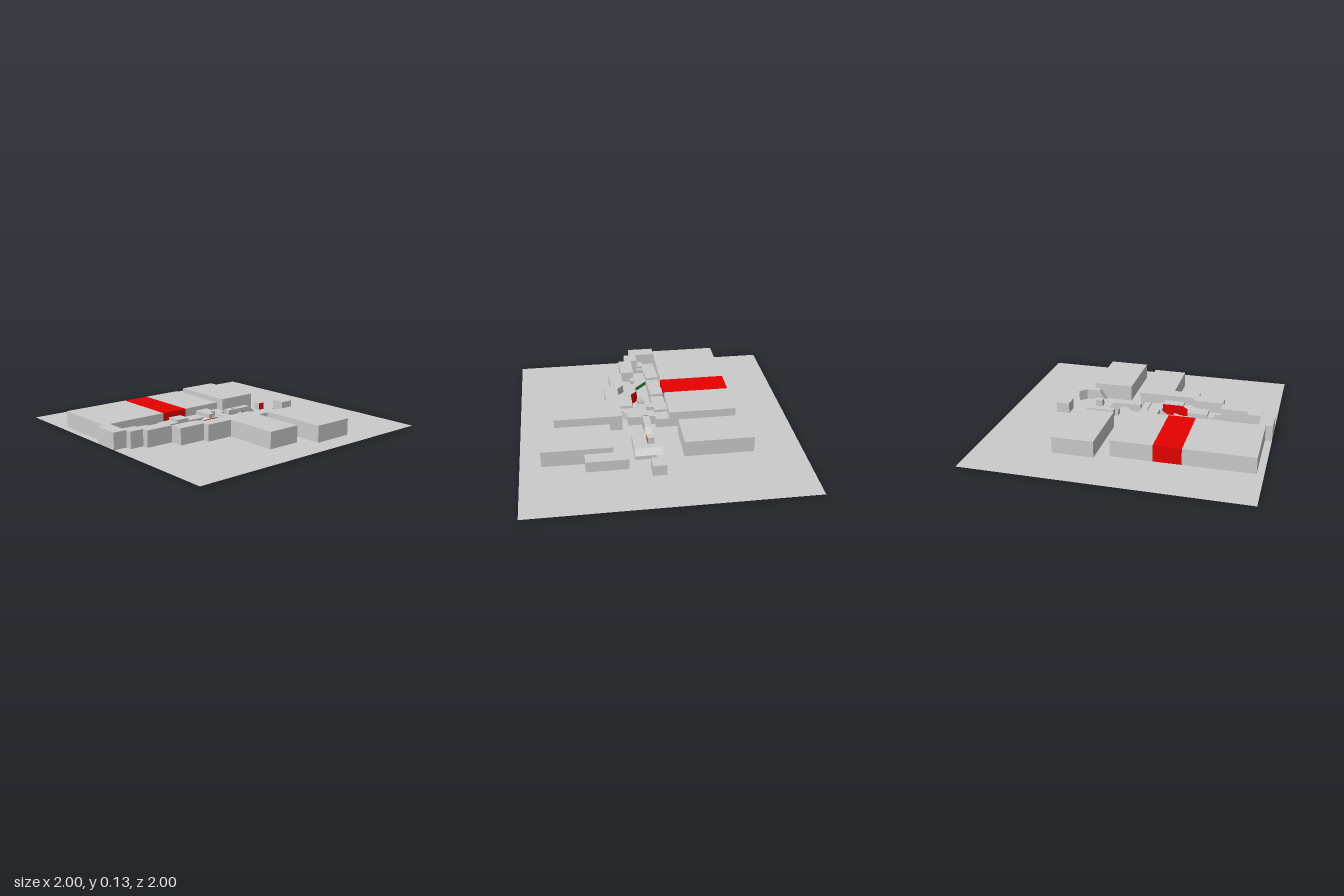
import * as THREE from 'three';

const GROUND = 0.01, TOP = 0.13;
const mat = (color) => new THREE.MeshStandardMaterial({ color, side: THREE.DoubleSide, flatShading: true });

export function createModel() {
  const root = new THREE.Group();
  const grey = mat(0xcccccc), red = mat(0xe60000), green = mat(0x30a040);

  const add = (name, geometry, material = grey) => {
    const mesh = new THREE.Mesh(geometry, material);
    mesh.name = name;
    root.add(mesh);
    return mesh;
  };
  // Box given by its limits
  const box = (name, x0, x1, z0, z1, y1 = TOP, y0 = GROUND, material = grey) =>
    add(name, new THREE.BoxGeometry(x1 - x0, y1 - y0, z1 - z0)
      .translate((x0 + x1) / 2, (y0 + y1) / 2, (z0 + z1) / 2), material);
  // Upright prism over a plan outline of [x, z] corners
  const prism = (name, plan, y1 = TOP, y0 = GROUND) => {
    const shape = new THREE.Shape(plan.map(([x, z]) => new THREE.Vector2(x, -z)));
    const g = new THREE.ExtrudeGeometry(shape, { depth: y1 - y0, bevelEnabled: false });
    return add(name, g.rotateX(-Math.PI / 2).translate(0, y0, 0));
  };
  // Prism across x over a side outline of [z, y] corners
  const profile = (name, side, x0, x1) => {
    const shape = side instanceof THREE.Shape ? side
      : new THREE.Shape(side.map(([z, y]) => new THREE.Vector2(-z, y)));
    const g = new THREE.ExtrudeGeometry(shape, { depth: x1 - x0, bevelEnabled: false, curveSegments: 10 });
    return add(name, g.rotateY(Math.PI / 2).translate(x0, 0, 0));
  };
  // Thin upright sheet along a plan line
  const sheet = (name, line, y0, y1, material) => {
    for (let i = 0; i + 1 < line.length; i++) {
      const [a, b] = [line[i], line[i + 1]];
      const dx = b[0] - a[0], dz = b[1] - a[1];
      const g = new THREE.PlaneGeometry(Math.hypot(dx, dz), y1 - y0)
        .rotateY(-Math.atan2(dz, dx))
        .translate((a[0] + b[0]) / 2, (y0 + y1) / 2, (a[1] + b[1]) / 2);
      add(name, g, material);
    }
  };

  // Ground and the shallow trench under it
  add('ground', new THREE.PlaneGeometry(2, 2).rotateX(-Math.PI / 2).translate(0, GROUND, 0));
  box('trench', 0.2, 0.25, -0.05, 0.15, GROUND, 0);

  // Large block beside the canyon, with a red band
  box('sideBlockBack', -0.6, -0.1, -0.05, 0.25);
  box('redBand', -0.6, -0.1, 0.25, 0.45, TOP, GROUND, red);
  box('sideBlockFront', -0.6, -0.1, 0.45, 0.95);

  // Stepped wall on the other side, closing the front end
  prism('canyonWall', [
    [-0.1, 1], [0.1, 1], [0.1, 0.9], [0.15, 0.9], [0.15, 0.8], [0.2, 0.8], [0.2, 0.6],
    [0.3, 0.6], [0.3, 0.4], [0.35, 0.4], [0.35, 0.2], [0.75, 0.2], [0.75, -0.05],
    [0.25, -0.05], [0.25, 0.35], [0.2, 0.4], [0.2, 0.6], [0.1, 0.6], [0.1, 0.8],
    [0.05, 0.8], [0.05, 0.9], [-0.1, 0.9],
  ]);

  // Separate back blocks
  box('backBlockRight', -0.65, -0.15, -0.45, -0.15);
  box('backBlockLeft', 0.35, 0.85, -0.45, -0.15);
  prism('backAnnex', [[0.35, -0.45], [0.55, -0.45], [0.55, -0.55], [0.25, -0.55]], 0.09);
  profile('annexRamp', [[-0.5, GROUND], [-0.35, GROUND], [-0.4, 0.09], [-0.5, 0.09]], 0.3, 0.35);

  // Raised platform with sloped back and small blocks
  profile('platform', [[-0.45, GROUND], [-0.2, GROUND], [-0.2, 0.07], [-0.4, 0.07], [-0.45, 0.04]], 0, 0.2);
  box('platformBlock', 0.05, 0.1, -0.35, -0.3, 0.12, 0.07);
  sheet('platformBlockSide', [[0.1005, -0.35], [0.1005, -0.3]], 0.07, 0.12, red);
  box('platformStep', 0, 0.05, -0.5, -0.45, 0.04);
  box('rearCube', 0, 0.1, -0.65, -0.55, 0.09);

  // Arched bridge from the platform to the canyon
  const arch = new THREE.Shape();
  arch.moveTo(0.25, 0.07);
  arch.lineTo(0.2, 0.115);
  arch.lineTo(0, 0.115);
  arch.lineTo(0, GROUND);
  arch.lineTo(0.065, GROUND);
  arch.lineTo(0.065, 0.035);
  arch.absarc(0.12, 0.035, 0.055, Math.PI, 0, true);
  arch.lineTo(0.175, GROUND);
  arch.lineTo(0.2, GROUND);
  arch.lineTo(0.2, 0.07);
  profile('bridge', arch, 0.05, 0.1);
  sheet('bridgeMark', [[0.05, -0.05], [0.1, -0.05]], 0.116, 0.119, green);

  // Stepped ledges along the side block: start z, end z, height
  [[-0.05, 0.05, 0.08], [0.05, 0.15, 0.1], [0.15, 0.3, 0.07], [0.3, 0.4, 0.09],
    [0.4, 0.5, 0.07], [0.5, 0.57, 0.06], [0.57, 0.6, 0.05], [0.6, 0.7, 0.07],
    [0.7, 0.75, 0.05], [0.75, 0.9, 0.04]]
    .forEach(([z0, z1, y]) => box('ledge', -0.1, 0, z0, z1, y));

  // Canyon floor pieces
  box('centreLedge', 0, 0.2, 0, 0.05, 0.08);
  box('centreBlock', 0, 0.05, 0.1, 0.15, 0.1);
  box('centreFloor', 0, 0.1, 0.05, 0.15, 0.07);
  profile('centreRamp', [[0.15, GROUND], [0.25, GROUND], [0.25, 0.04], [0.2, 0.04], [0.15, 0.07]], 0, 0.1);
  profile('longRamp', [[0.25, GROUND], [0.4, GROUND], [0.25, 0.06]], 0.05, 0.1);
  prism('bankBack', [[0.1, 0.05], [0.2, 0.05], [0.25, 0.15], [0.1, 0.15]], 0.07);
  prism('bankMiddle', [[0.15, 0.15], [0.25, 0.15], [0.25, 0.3], [0.15, 0.3]], 0.09);
  prism('bankFront', [[0.1, 0.35], [0.15, 0.3], [0.25, 0.3], [0.25, 0.35], [0.2, 0.4], [0.1, 0.4]], 0.07);
  sheet('redBank', [[0.149, 0.15], [0.149, 0.3], [0.099, 0.35]], GROUND, 0.1, red);
  box('bankStep', 0.1, 0.2, 0.4, 0.5, 0.07);
  box('bankLowStep', 0.1, 0.2, 0.5, 0.6, 0.05);
  box('smallBlock', 0.1, 0.13, 0.55, 0.6, 0.08);
  prism('diagonalFloor', [[0, 0.6], [0.1, 0.5], [0.1, 0.6], [0, 0.7]], 0.04);
  sheet('diagonalFace', [[-0.001, 0.599], [0.099, 0.499]], GROUND, 0.04, green);
  box('frontStep', 0, 0.05, 0.8, 0.825, 0.04);
  box('frontFloor', 0, 0.05, 0.825, 0.9, 0.06);

  return root;
}
